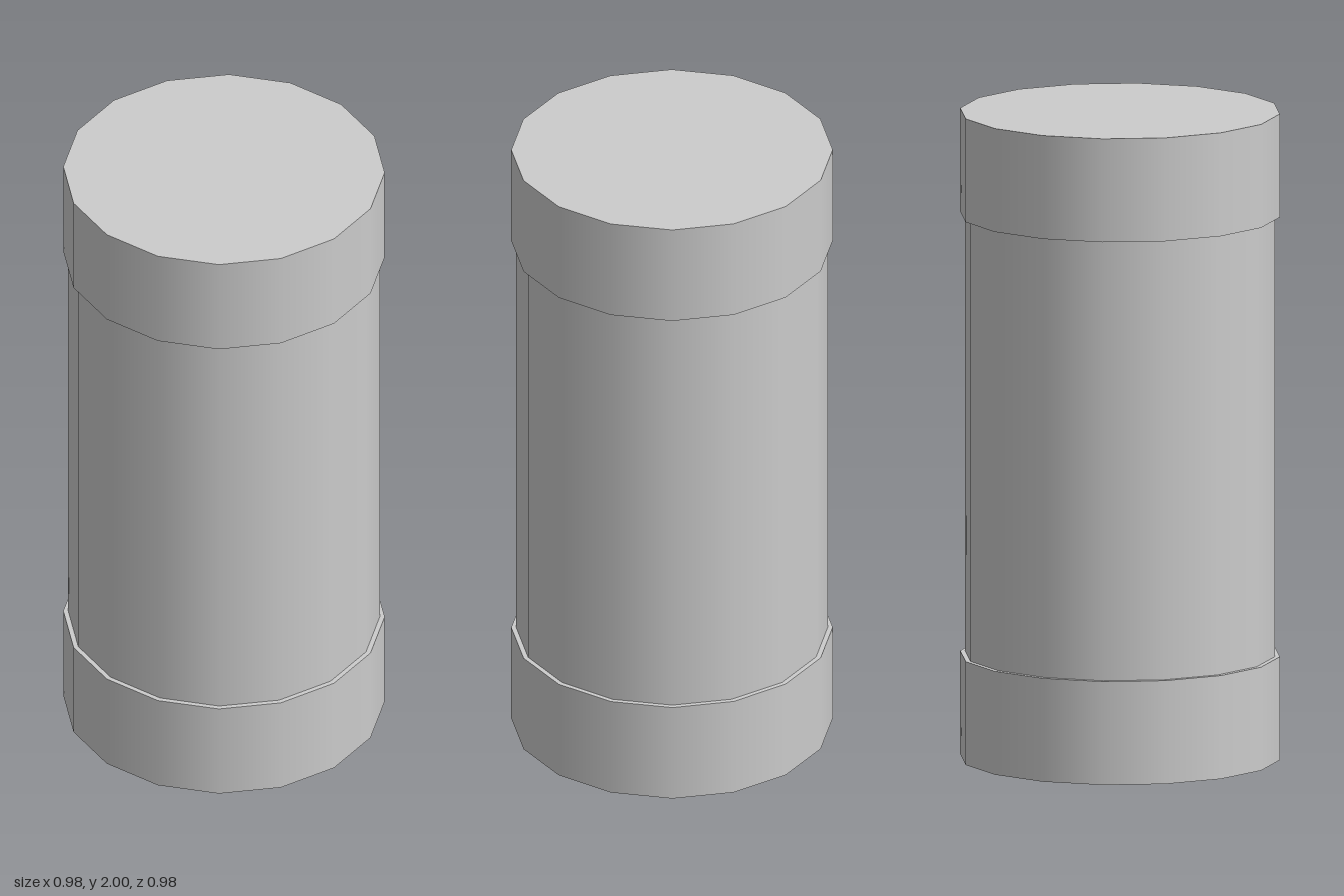
import * as THREE from 'three';

const SIDES = 16;
const HEIGHT = 2;
const CAP_HEIGHT = 0.32;
const CAP_RADIUS = 0.49;
const BODY_RADIUS = 0.475;

export function createModel() {
  const group = new THREE.Group();
  group.name = 'canister';
  const material = new THREE.MeshStandardMaterial({ color: 0xcccccc });

  // Upright sixteen-sided cylinder standing on the given base height
  function addCylinder(name, radius, height, base, open = false) {
    const geometry = new THREE.CylinderGeometry(radius, radius, height, SIDES, 1, open);
    const mesh = new THREE.Mesh(geometry, material);
    mesh.name = name;
    mesh.position.y = base + height / 2;
    group.add(mesh);
  }

  // Slightly narrower body between two solid end caps
  addCylinder('body', BODY_RADIUS, HEIGHT - 2 * CAP_HEIGHT, CAP_HEIGHT, true);
  addCylinder('bottomCap', CAP_RADIUS, CAP_HEIGHT, 0);
  addCylinder('topCap', CAP_RADIUS, CAP_HEIGHT, HEIGHT - CAP_HEIGHT);

  return group;
}
